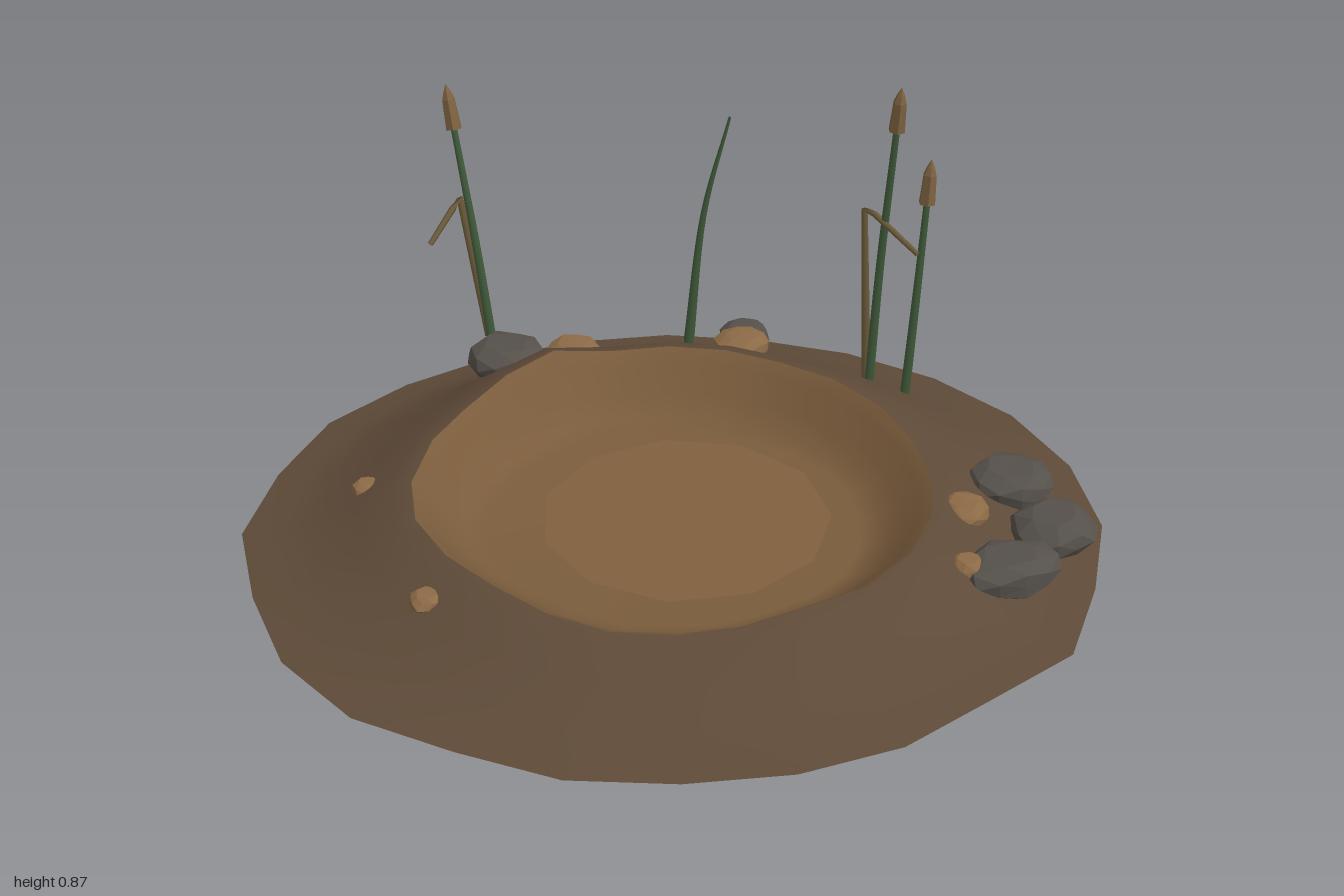
import * as THREE from 'three';

const mat = (color, flatShading = false) =>
  new THREE.MeshStandardMaterial({ color, flatShading, side: THREE.DoubleSide });
const MUD = mat(0x5e4a38), WET = mat(0x7a5c3c), POND = mat(0x80613f);
const GREY = mat(0x55504a, true), TAN = mat(0x8c6a46, true);
const GREEN = mat(0x3f5a3a), DRY = mat(0x6b5a3a), HEAD = mat(0x7d6240, true);

// Outline, rim radius and rim height every 15 degrees, from +x towards +z
const N = 24;
const EDGE = [1, .975, .985, .92, .92, .91, .905, .92, .92, .965, .98, .975,
  1, .98, .98, .95, .93, .92, .92, .92, .94, .965, .99, 1];
const RIM = [.595, .6, .6, .58, .56, .56, .55, .56, .56, .56, .58, .6,
  .6, .58, .57, .56, .57, .56, .545, .55, .55, .56, .575, .59];
const HIGH = [.13, .14, .14, .125, .13, .12, .105, .11, .12, .13, .135, .14,
  .14, .16, .16, .19, .2, .17, .18, .175, .17, .17, .16, .14];

function mesh(name, geometry, material, parent) {
  const m = new THREE.Mesh(geometry, material);
  m.name = name;
  parent.add(m);
  return m;
}

// Skin over concentric rings, given from the centre outwards
function rings(list) {
  const pos = [], index = [];
  list.forEach((at, r) => {
    for (let i = 0; i < N; i++) {
      const a = (i / N) * Math.PI * 2, [radius, y] = at(i);
      pos.push(Math.cos(a) * radius, y, Math.sin(a) * radius);
      if (!r) continue;
      const j = (i + 1) % N, p = (r - 1) * N, q = r * N;
      index.push(p + i, q + j, q + i, p + i, p + j, q + j);
    }
  });
  const g = new THREE.BufferGeometry();
  g.setAttribute('position', new THREE.Float32BufferAttribute(pos, 3));
  g.setIndex(index);
  g.computeVertexNormals();
  return g;
}

const bankRing = (t, h) => i =>
  [RIM[i] + (EDGE[i] - RIM[i]) * t, HIGH[i] * h];
const bowlRing = (s, h) => i =>
  [RIM[i] * s, .02 + (HIGH[i] - .02) * h];

// Flattened rough stone, worn by a repeatable rule
function stone(parent, material, x, y, z, rx, ry, rz, turn) {
  const g = new THREE.IcosahedronGeometry(1, 1);
  const p = g.attributes.position, v = new THREE.Vector3();
  for (let i = 0; i < p.count; i++) {
    v.fromBufferAttribute(p, i);
    v.multiplyScalar(1 + .09 * Math.sin(4 * v.x + turn * 3) * Math.cos(3 * v.z + 5 * v.y + turn));
    p.setXYZ(i, v.x, THREE.MathUtils.clamp(v.y, -.8, .8) * 1.2, v.z);
  }
  g.scale(rx, ry, rz);
  g.computeVertexNormals();
  const m = mesh('stone', g, material, parent);
  m.position.set(x, y, z);
  m.rotation.y = turn;
}

// Tube along a path, narrowing from radius r to r * tip
function stem(name, points, r, tip, material, parent, bent = false) {
  const pts = points.map(p => new THREE.Vector3(...p));
  const curve = new THREE.CatmullRomCurve3(pts, false, 'catmullrom', bent ? 0 : .5);
  const steps = 14, sides = 6;
  const g = new THREE.TubeGeometry(curve, steps, r, sides, false);
  const p = g.attributes.position, v = new THREE.Vector3();
  for (let i = 0; i < p.count; i++) {
    const t = Math.floor(i / (sides + 1)) / steps, c = curve.getPointAt(t);
    v.fromBufferAttribute(p, i).sub(c).multiplyScalar(1 + (tip - 1) * t).add(c);
    p.setXYZ(i, v.x, v.y, v.z);
  }
  mesh(name, g, material, parent);
  return curve;
}

// Reed: stem with a pointed seed head along its last stretch
function reed(points, parent) {
  const g = new THREE.Group();
  g.name = 'reed';
  parent.add(g);
  const curve = stem('reedStem', points, .013, .65, GREEN, g);
  const profile = [[0, 0], [.021, 0], [.017, .075], [.01, .095], [0, .115]];
  const head = mesh('seedHead', new THREE.LatheGeometry(
    profile.map(p => new THREE.Vector2(...p)), 6), HEAD, g);
  head.position.copy(curve.getPointAt(1));
  head.quaternion.setFromUnitVectors(new THREE.Vector3(0, 1, 0), curve.getTangentAt(1));
}

export function createModel() {
  const model = new THREE.Group();
  model.name = 'mudPuddle';

  // Ground: sloping bank, hollow and flat pond surface
  mesh('bank', rings([bankRing(0, 1), bankRing(.12, .93), bankRing(.33, .62),
    bankRing(.6, .26), bankRing(.8, .1), bankRing(1, 0)]), MUD, model);
  mesh('basin', rings([() => [0, .01], bowlRing(.73, 0), bowlRing(.8, .12),
    bowlRing(.88, .4), bowlRing(.95, .8), bowlRing(1, 1)]), WET, model);
  const pond = mesh('pond', new THREE.CircleGeometry(.34, 11), POND, model);
  pond.rotation.x = -Math.PI / 2;
  pond.position.set(.03, .024, -.02);

  // Stones
  const stones = new THREE.Group();
  stones.name = 'stones';
  model.add(stones);
  [
    [GREY, -.41, .11, -.62, .1, .045, .095, .3],
    [TAN, -.24, .125, -.61, .075, .035, .07, 1.2],
    [GREY, .2, .055, -.82, .068, .03, .065, 2],
    [TAN, .185, .1, -.69, .075, .03, .07, .8],
    [TAN, -.71, .085, -.06, .038, .02, .034, .5],
    [TAN, -.54, .087, .39, .042, .022, .04, 1.7],
    [GREY, .79, .075, -.08, .105, .045, .095, .2],
    [GREY, .86, .075, .12, .098, .048, .105, 2.6],
    [GREY, .74, .07, .27, .125, .045, .085, .4],
    [TAN, .66, .1, .085, .065, .032, .06, 1],
    [TAN, .645, .09, .29, .045, .025, .042, 2.2],
  ].forEach(s => stone(stones, ...s));

  // Reeds, broken leaves and a single blade
  const plants = new THREE.Group();
  plants.name = 'plants';
  model.add(plants);
  reed([[.505, .04, -.59], [.52, .4, -.585], [.54, .755, -.56]], plants);
  reed([[.59, .04, -.53], [.605, .3, -.535], [.62, .57, -.545]], plants);
  reed([[-.45, .08, -.735], [-.485, .36, -.77], [-.53, .645, -.83]], plants);
  stem('brokenLeaf', [[.5, .04, -.6], [.477, .535, -.612], [.6, .45, -.51]],
    .013, .5, DRY, plants, true);
  stem('brokenLeaf', [[-.46, .08, -.79], [-.525, .45, -.84], [-.595, .375, -.73]],
    .014, .5, DRY, plants, true);
  stem('blade', [[.055, .04, -.815], [.09, .4, -.817], [.155, .675, -.82]],
    .015, .25, GREEN, plants);
  return model;
}
